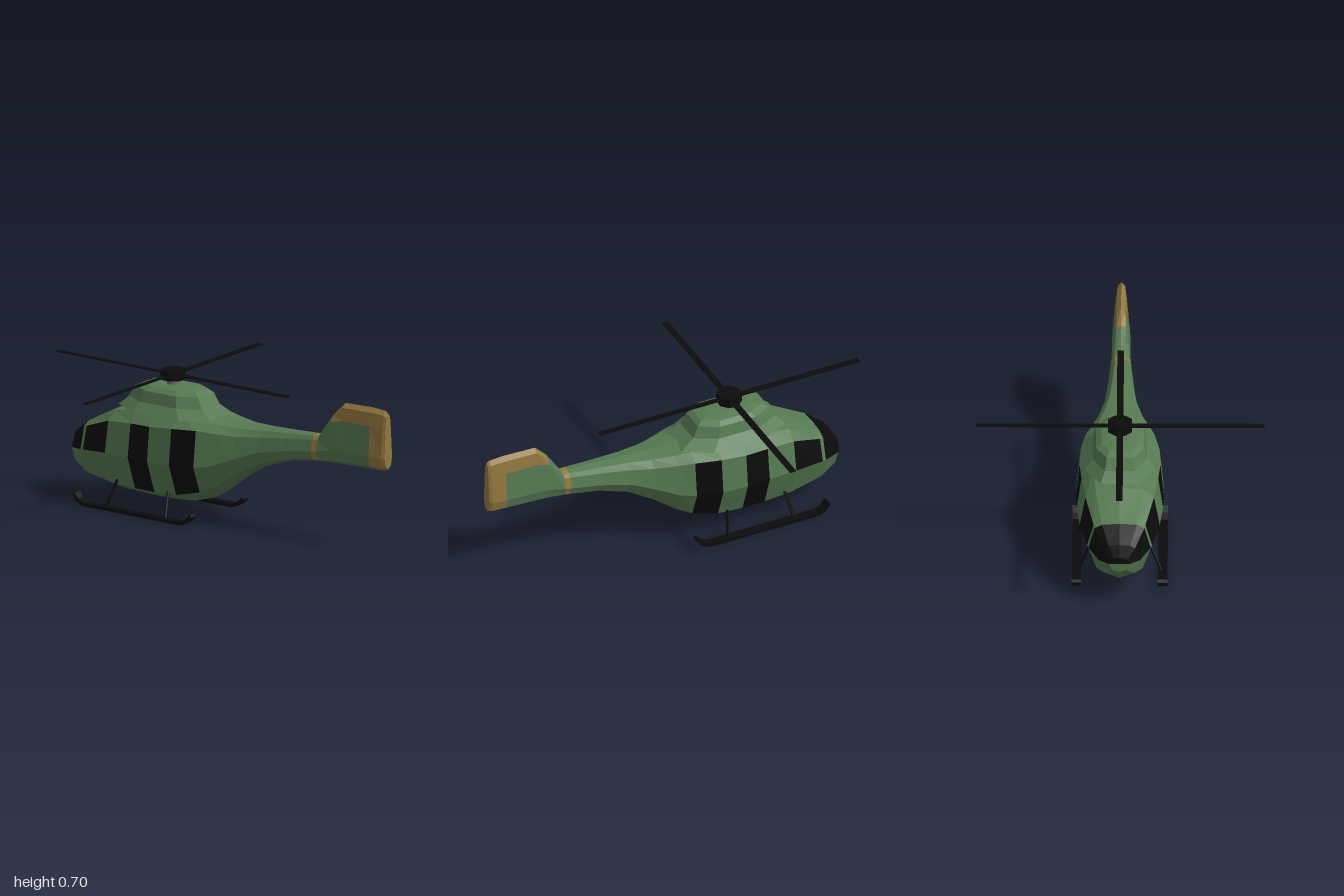
import * as THREE from 'three';

const GREEN = 0x567a52, GOLD = 0x94793f, BLACK = 0x0b0b0b;

function mat(color) {
  return new THREE.MeshStandardMaterial({ color, flatShading: true });
}

function addMesh(parent, name, geometry, color) {
  const mesh = new THREE.Mesh(geometry, mat(color));
  mesh.name = name;
  parent.add(mesh);
  return mesh;
}

// Collects quads as flat-shaded triangles
function pushQuad(list, a, b, c, d) {
  list.push(...a, ...b, ...c, ...a, ...c, ...d);
}

function toGeometry(list) {
  const g = new THREE.BufferGeometry();
  g.setAttribute('position', new THREE.Float32BufferAttribute(list, 3));
  g.computeVertexNormals();
  return g;
}

// Hull stations: z, keel y, roof y, waist x, waist y, shoulder x, shoulder y
const STATIONS = [
  [-0.87, 0.19, 0.27, 0.05, 0.235, 0.04, 0.255],
  [-0.84, 0.14, 0.325, 0.1, 0.24, 0.075, 0.305],
  [-0.75, 0.092, 0.39, 0.15, 0.255, 0.12, 0.365],
  [-0.73, 0.087, 0.4, 0.157, 0.258, 0.125, 0.37],
  [-0.57, 0.055, 0.485, 0.193, 0.275, 0.165, 0.43],
  [-0.42, 0.05, 0.53, 0.208, 0.28, 0.185, 0.445],
  [-0.3, 0.05, 0.54, 0.212, 0.28, 0.195, 0.45],
  [-0.17, 0.06, 0.54, 0.208, 0.28, 0.19, 0.46],
  [-0.04, 0.1, 0.515, 0.185, 0.285, 0.165, 0.465],
  [0.04, 0.15, 0.505, 0.16, 0.3, 0.14, 0.46],
  [0.15, 0.235, 0.5, 0.122, 0.345, 0.105, 0.455],
  [0.27, 0.31, 0.505, 0.09, 0.39, 0.075, 0.465],
  [0.42, 0.36, 0.512, 0.068, 0.42, 0.055, 0.48],
  [0.57, 0.383, 0.52, 0.055, 0.44, 0.042, 0.495],
  [0.6, 0.385, 0.52, 0.052, 0.445, 0.04, 0.498],
  [0.68, 0.39, 0.64, 0.046, 0.46, 0.032, 0.6],
  [0.74, 0.392, 0.7, 0.045, 0.465, 0.028, 0.615],
  [0.91, 0.398, 0.705, 0.043, 0.47, 0.028, 0.615],
  [0.985, 0.4, 0.7, 0.038, 0.47, 0.026, 0.615],
  [1.0, 0.41, 0.69, 0.03, 0.47, 0.02, 0.615],
];

// Half ring from keel to roof: keel, chine, waist, shoulder, roof edge, ridge
function halfRing([z, keel, top, wx, wy, sx, sy], side) {
  return [
    [0, keel],
    [wx * 0.72, keel + (wy - keel) * 0.28],
    [wx, wy],
    [sx, sy],
    [sx * 0.7, sy + (top - sy) * 0.75],
    [0, top],
  ].map(([x, y]) => [x * side, y, z]);
}

// Which part a hull panel belongs to, by its middle z and its band
function panelPart(z, band) {
  if (z < -0.75) return band >= 2 ? 'windows' : 'fuselage';
  if (z > -0.73 && z < -0.57) return band === 2 ? 'windows' : 'fuselage';
  const door = (z > -0.42 && z < -0.3) || (z > -0.17 && z < -0.04);
  if (door && (band === 1 || band === 2)) return 'windows';
  if ((z > 0.57 && z < 0.6) || z > 0.91) return 'tailTrim';
  if (z > 0.68 && band >= 3) return 'tailTrim';
  return 'fuselage';
}

function buildHull(parent) {
  const lists = { fuselage: [], windows: [], tailTrim: [] };
  const last = STATIONS.length - 1;
  for (const side of [1, -1]) {
    const rings = STATIONS.map((s) => halfRing(s, side));
    for (let i = 0; i < last; i++) {
      const z = (STATIONS[i][0] + STATIONS[i + 1][0]) / 2;
      for (let j = 0; j < 5; j++) {
        const q = [rings[i][j], rings[i][j + 1], rings[i + 1][j + 1], rings[i + 1][j]];
        if (side < 0) q.reverse();
        pushQuad(lists[panelPart(z, j)], ...q);
      }
    }
  }
  // Nose and tail ends
  for (const i of [0, last]) {
    const l = halfRing(STATIONS[i], 1), r = halfRing(STATIONS[i], -1);
    for (let j = 0; j < 5; j++) {
      const q = [l[j], r[j], r[j + 1], l[j + 1]];
      if (i === last) q.reverse();
      pushQuad(lists[panelPart(STATIONS[i][0], j)], ...q);
    }
  }
  addMesh(parent, 'fuselage', toGeometry(lists.fuselage), GREEN);
  addMesh(parent, 'windows', toGeometry(lists.windows), BLACK);
  addMesh(parent, 'tailTrim', toGeometry(lists.tailTrim), GOLD);
}

// Engine cover: stacked chamfered rectangles (y, half width, front z, back z)
function buildEngineCover(parent) {
  const corner = [[1, -0.5], [1, 0.5], [0.55, 1], [-0.55, 1], [-1, 0.5], [-1, -0.5], [-0.55, -1], [0.55, -1]];
  const rings = [
    [0.5, 0.17, -0.56, 0.0],
    [0.545, 0.13, -0.515, -0.075],
    [0.6, 0.115, -0.485, -0.105],
    [0.618, 0.09, -0.45, -0.13],
    [0.626, 0.05, -0.4, -0.18],
  ].map(([y, hx, z0, z1]) => corner.map(([u, v]) => [u * hx, y, (z0 + z1) / 2 + (v * (z1 - z0)) / 2]));
  const list = [];
  for (let k = 0; k < 8; k++) {
    const n = (k + 1) % 8;
    for (let i = 0; i < rings.length - 1; i++) {
      pushQuad(list, rings[i][k], rings[i + 1][k], rings[i + 1][n], rings[i][n]);
    }
    const top = rings[rings.length - 1];
    list.push(0, 0.626, -0.29, ...top[n], ...top[k]);
  }
  addMesh(parent, 'engineCover', toGeometry(list), GREEN);
}

// Mast, hub and four slightly pitched blades
function buildRotor(parent) {
  const rotor = new THREE.Group();
  rotor.name = 'mainRotor';
  rotor.position.set(0, 0.672, -0.303);
  parent.add(rotor);
  addMesh(rotor, 'mast', new THREE.CylinderGeometry(0.03, 0.03, 0.06, 12), 0x707070).position.y = -0.045;
  const hub = new THREE.CylinderGeometry(0.062, 0.062, 0.046, 8).rotateY(Math.PI / 8);
  addMesh(rotor, 'hub', hub, BLACK);
  for (let i = 0; i < 4; i++) {
    const blade = new THREE.BoxGeometry(0.66, 0.004, 0.032);
    blade.rotateX(0.06).translate(0.367, 0, 0).rotateY((i * Math.PI) / 2);
    addMesh(rotor, 'blade', blade, BLACK);
  }
}

function strut(parent, from, to) {
  const a = new THREE.Vector3(...from), b = new THREE.Vector3(...to);
  const mesh = addMesh(parent, 'skidStrut', new THREE.CylinderGeometry(0.008, 0.008, a.distanceTo(b), 6), BLACK);
  mesh.position.copy(a).lerp(b, 0.5);
  mesh.quaternion.setFromUnitVectors(new THREE.Vector3(0, 1, 0), b.sub(a).normalize());
}

// Skids with upturned ends, each on two splayed struts
function buildSkids(parent) {
  const shape = new THREE.Shape([
    [-0.725, 0.06], [-0.738, 0.05], [-0.715, 0.02], [-0.675, 0], [-0.085, 0], [-0.045, 0.02],
    [-0.018, 0.05], [-0.03, 0.06], [-0.055, 0.033], [-0.09, 0.015], [-0.67, 0.015], [-0.705, 0.033],
  ].map(([z, y]) => new THREE.Vector2(z, y)));
  for (const side of [1, -1]) {
    const skid = new THREE.ExtrudeGeometry(shape, { depth: 0.045, bevelEnabled: false });
    skid.translate(0, 0, -0.0225).rotateY(-Math.PI / 2).translate(side * 0.208, 0, 0);
    addMesh(parent, 'skid', skid, BLACK);
    strut(parent, [side * 0.145, 0.14, -0.22], [side * 0.2, 0.01, -0.198]);
    strut(parent, [side * 0.145, 0.14, -0.528], [side * 0.2, 0.01, -0.555]);
  }
}

export function createModel() {
  const model = new THREE.Group();
  model.name = 'helicopter';
  buildHull(model);
  buildEngineCover(model);
  buildRotor(model);
  buildSkids(model);
  return model;
}
